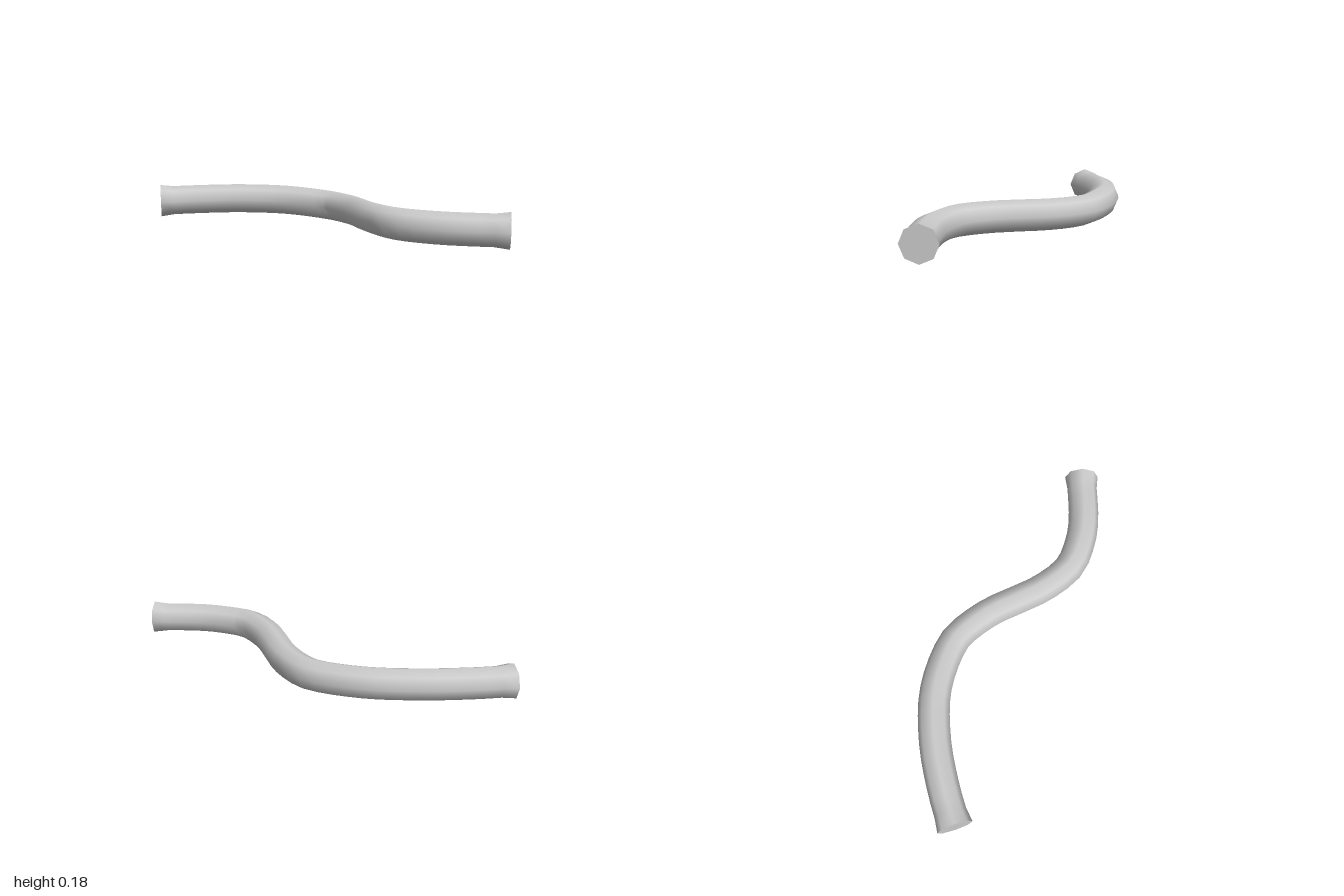
import * as THREE from 'three';

const SIDES = 8;
const RINGS = 32;

// Centre line of the pipe, back to front
const path = new THREE.CatmullRomCurve3([
  [-0.325, 0.098, -0.93], [-0.25, 0.1, -0.88], [-0.155, 0.103, -0.81], [0.01, 0.107, -0.665],
  [0.175, 0.104, -0.455], [0.262, 0.092, -0.2], [0.25, 0.09, -0.09],
  [0.21, 0.091, 0.04], [0.143, 0.094, 0.17], [0.08, 0.096, 0.3],
  [0.042, 0.096, 0.47], [0.068, 0.094, 0.585], [0.13, 0.092, 0.717],
  [0.305, 0.088, 0.94],
].map((p) => new THREE.Vector3(...p)));

// One octagonal ring with a corner pointing up
function ring(t, radius) {
  const centre = path.getPointAt(t);
  const tangent = path.getTangentAt(t);
  const side = new THREE.Vector3(0, 1, 0).cross(tangent).normalize();
  const up = tangent.clone().cross(side);
  return Array.from({ length: SIDES }, (_, j) => {
    const a = (j / SIDES) * Math.PI * 2;
    return centre.clone()
      .addScaledVector(side, Math.sin(a) * radius)
      .addScaledVector(up, Math.cos(a) * radius);
  });
}

function makeMesh(name, points, index, material) {
  const geometry = new THREE.BufferGeometry().setFromPoints(points);
  geometry.setIndex(index);
  geometry.computeVertexNormals();
  const mesh = new THREE.Mesh(geometry, material);
  mesh.name = name;
  return mesh;
}

export function createModel() {
  const group = new THREE.Group();
  group.name = 'bentPipe';
  const material = new THREE.MeshStandardMaterial({ color: 0xcccccc });

  // Rings along the path, flared slightly at both ends
  const rings = [];
  for (let i = 0; i <= RINGS; i++) {
    rings.push(ring(i / RINGS, i === 0 || i === RINGS ? 0.087 : 0.078));
  }

  // Smooth pipe wall
  const index = [];
  for (let i = 0; i < RINGS; i++) {
    for (let j = 0; j < SIDES; j++) {
      const k = (j + 1) % SIDES;
      const a = i * SIDES + j, b = i * SIDES + k;
      index.push(a, a + SIDES, b, a + SIDES, b + SIDES, b);
    }
  }
  group.add(makeMesh('pipeWall', rings.flat(), index, material));

  // Flat end caps
  const backFan = [], frontFan = [];
  for (let j = 1; j < SIDES - 1; j++) {
    backFan.push(0, j, j + 1);
    frontFan.push(0, j + 1, j);
  }
  group.add(makeMesh('backCap', rings[0], backFan, material));
  group.add(makeMesh('frontCap', rings[RINGS], frontFan, material));
  return group;
}
